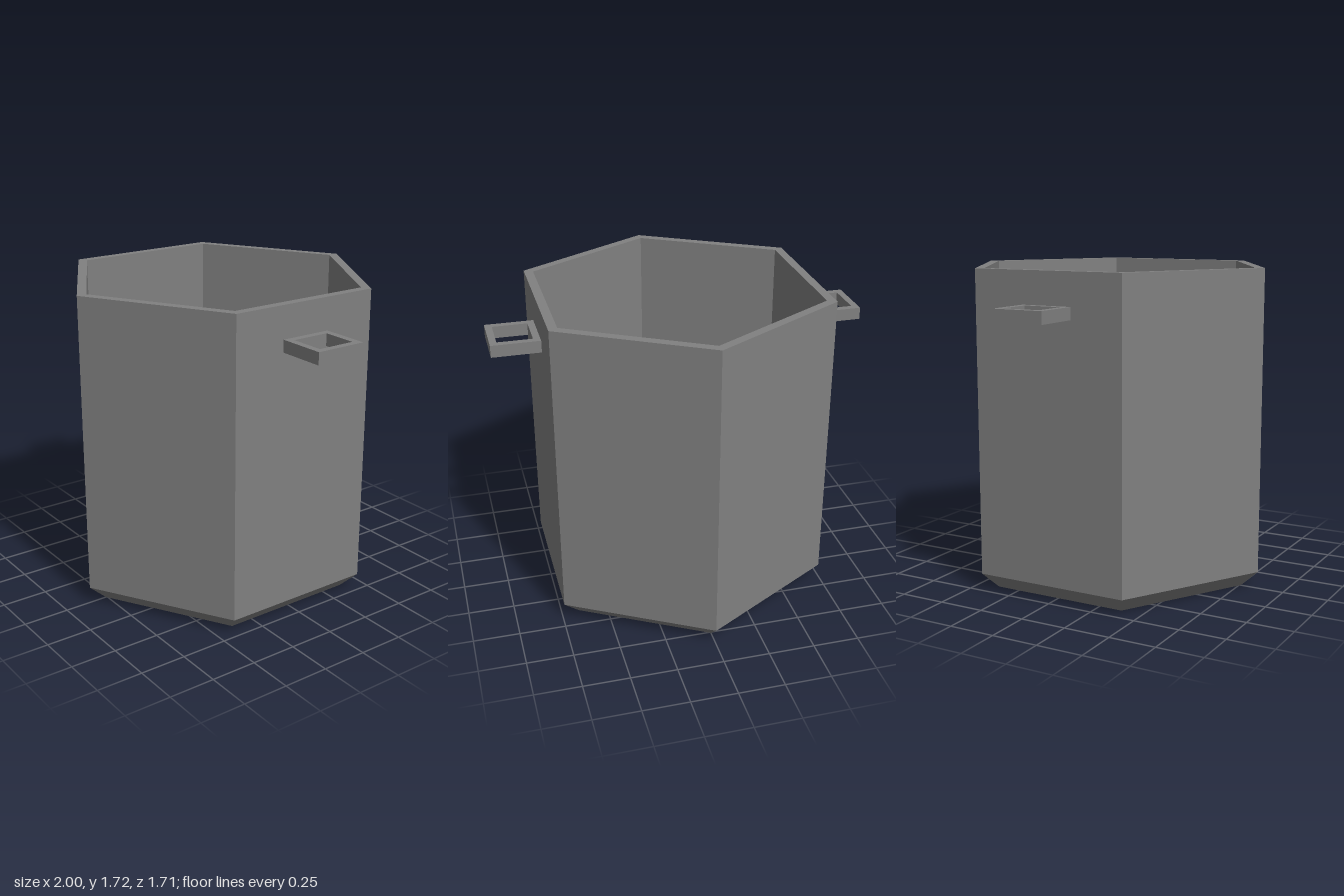
import * as THREE from 'three';

const HEIGHT = 1.715;

// Clockwise or counter-clockwise rectangle in the XY plane
function rectangle(PathType, x0, x1, half) {
  const path = new PathType();
  path.moveTo(x0, -half);
  path.lineTo(x1, -half);
  path.lineTo(x1, half);
  path.lineTo(x0, half);
  path.closePath();
  return path;
}

export function createModel() {
  const group = new THREE.Group();
  const grey = new THREE.MeshStandardMaterial({ color: 0x808080, flatShading: true });
  grey.name = 'grey';

  // Hollow six-sided pot with a bevelled foot, corners at the front and back
  const profile = [
    [0, 0], [0.757, 0], [0.855, 0.09], [0.855, HEIGHT],
    [0.8, HEIGHT], [0.8, 0.09], [0, 0.09],
  ].map(([r, y]) => new THREE.Vector2(r, y));
  const pot = new THREE.Mesh(new THREE.LatheGeometry(profile, 6), grey);
  pot.name = 'pot';
  group.add(pot);

  // Flat square ring handles on the two sides
  const outline = rectangle(THREE.Shape, 0.74, 1, 0.14);
  outline.holes.push(rectangle(THREE.Path, 0.777, 0.963, 0.103));
  const handleGeometry = new THREE.ExtrudeGeometry(outline, { depth: 0.065, bevelEnabled: false });
  handleGeometry.rotateX(-Math.PI / 2);
  for (const [name, angle] of [['leftHandle', 0], ['rightHandle', Math.PI]]) {
    const handle = new THREE.Mesh(handleGeometry, grey);
    handle.name = name;
    handle.position.y = 1.477;
    handle.rotation.y = angle;
    group.add(handle);
  }

  return group;
}
